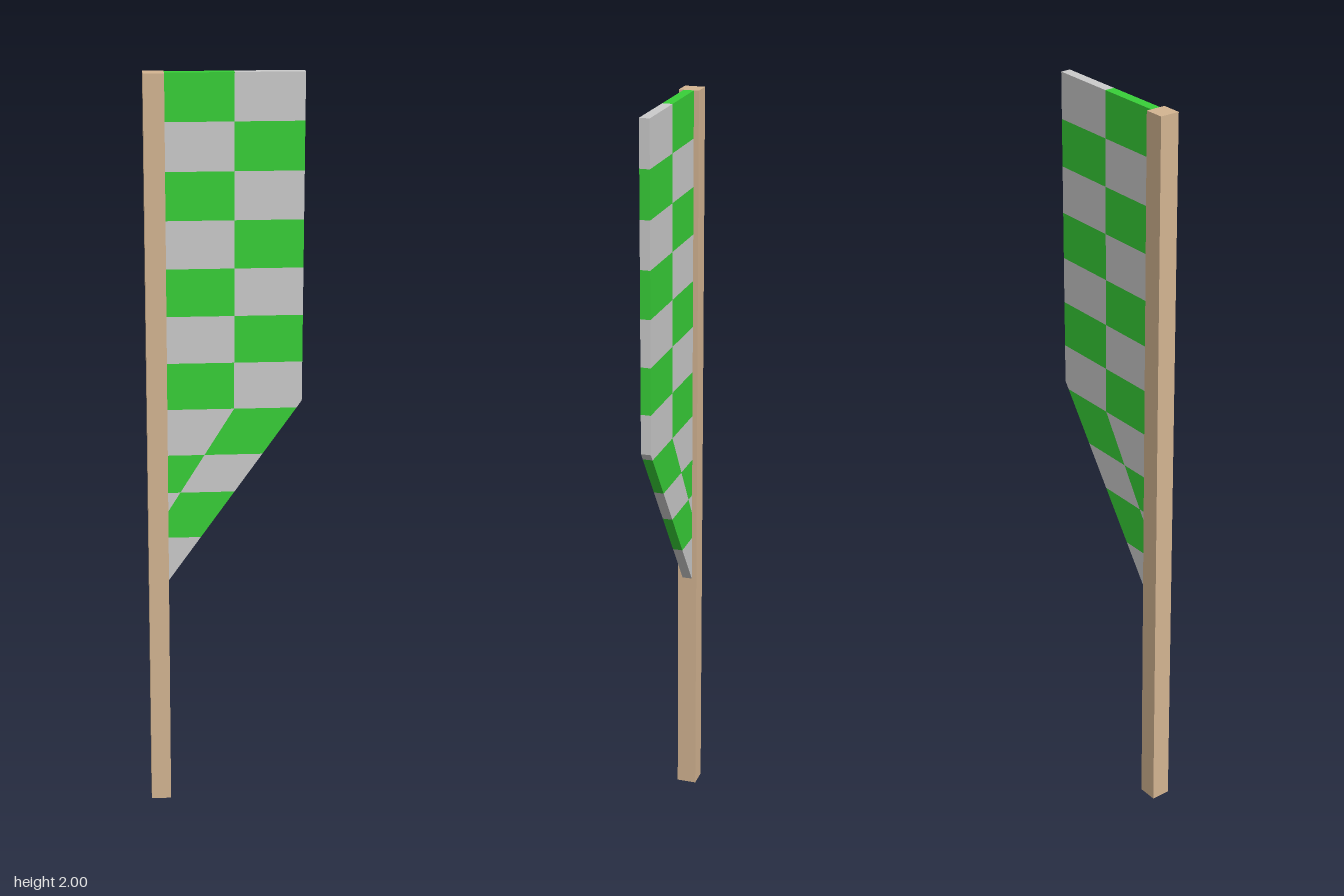
import * as THREE from 'three';

const LEFT = -0.15, RIGHT = 0.202, TOP = 2, HALF = 0.0133;
const CORNER_Y = 1.147, TIP_Y = 0.648;   // ends of the slanted lower edge
const SKEW_Y = 1.128, SKEW_END_Y = 0.845; // the check column leans between these

// Checker row boundaries, top to bottom
const ROWS = [TOP, 1.878, 1.753, 1.628, 1.503, 1.378, 1.253, SKEW_Y, 1.002, 0.898, 0.771, TIP_Y];

const lerpX = (y, y0, x0, y1, x1) =>
  THREE.MathUtils.lerp(x0, x1, THREE.MathUtils.clamp((y - y0) / (y1 - y0), 0, 1));
const splitX = y => lerpX(y, SKEW_Y, 0.025, SKEW_END_Y, LEFT);
const outerX = y => lerpX(y, CORNER_Y, RIGHT, TIP_Y, LEFT);

// Adds a triangle unless it has collapsed to nothing
function addTriangle(out, a, b, c) {
  const [A, B, C] = [a, b, c].map(p => new THREE.Vector3(...p));
  if (B.sub(A).cross(C.sub(A)).length() > 1e-9) out.push(...a, ...b, ...c);
}

function addQuad(out, a, b, c, d) {
  addTriangle(out, a, b, c);
  addTriangle(out, a, c, d);
}

// One trapezoid of cloth: both faces, plus walls on the flag's outline only
function addCell(out, y0, y1, from, to) {
  const f = y => from(y), t = y => to(y);
  const corners = [[f(y1), y1], [t(y1), y1], [t(y0), y0], [f(y0), y0]];
  const front = corners.map(([x, y]) => [x, y, HALF]);
  const back = corners.map(([x, y]) => [x, y, -HALF]);
  addQuad(out, ...front);
  addQuad(out, back[3], back[2], back[1], back[0]);
  const wall = (i, j) => addQuad(out, front[i], back[i], back[j], front[j]);
  if (to === outerX) wall(1, 2);
  if (y0 === TOP) wall(2, 3);
  if (f(y0) <= LEFT + 1e-6 && f(y1) <= LEFT + 1e-6) wall(3, 0);
}

export function createModel() {
  const group = new THREE.Group();

  // Square wooden pole
  const pole = new THREE.Mesh(
    new THREE.BoxGeometry(0.053, 2, 0.053),
    new THREE.MeshStandardMaterial({ color: 0xd4b592 })
  );
  pole.name = 'pole';
  pole.position.set(LEFT - 0.0265, 1, 0);
  group.add(pole);

  // Checkered flag, gathered into one mesh per colour
  const checks = [[], []];
  for (let row = 0; row < ROWS.length - 1; row++) {
    const [top, bottom] = [ROWS[row], ROWS[row + 1]];
    const bends = [CORNER_Y, SKEW_END_Y].filter(y => y < top && y > bottom);
    const ys = [top, ...bends, bottom];
    for (let i = 0; i < ys.length - 1; i++) {
      addCell(checks[row % 2], ys[i], ys[i + 1], () => LEFT, splitX);
      addCell(checks[(row + 1) % 2], ys[i], ys[i + 1], splitX, outerX);
    }
  }

  const flag = new THREE.Group();
  flag.name = 'flag';
  [['greenChecks', 0x38d038], ['greyChecks', 0xcccccc]].forEach(([name, color], i) => {
    const geometry = new THREE.BufferGeometry();
    geometry.setAttribute('position', new THREE.Float32BufferAttribute(checks[i], 3));
    geometry.computeVertexNormals();
    const mesh = new THREE.Mesh(geometry, new THREE.MeshStandardMaterial({ color }));
    mesh.name = name;
    flag.add(mesh);
  });
  group.add(flag);

  return group;
}
